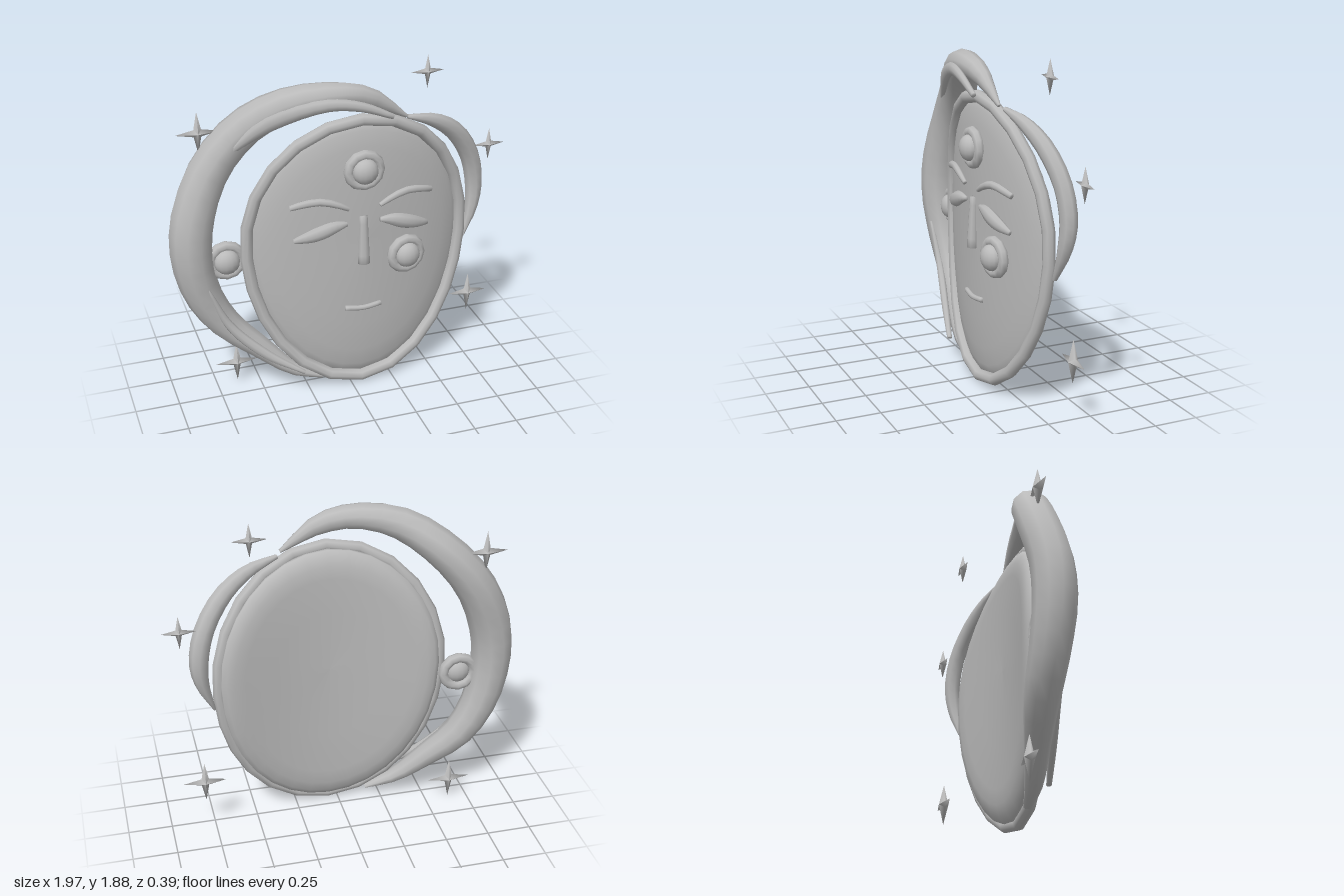
import * as THREE from 'three';

const grey = new THREE.MeshStandardMaterial({ color: 0xbababa });
grey.name = 'stone grey';
const CX = 0.06; // symmetry line of the face

// The whole face wraps backwards towards its sides
const bend = (x) => -0.28 * (x - CX) ** 2;

// Egg outline, a = angle, s = scale
function egg(a, s = 1) {
  const h = Math.sin(a) > 0 ? 0.71 : 0.875;
  return [CX + 0.625 * s * Math.cos(a), 0.92 + h * s * Math.sin(a)];
}

// Skin a list of closed rings
function skin(rings) {
  const n = rings[0].length, idx = [];
  for (let i = 0; i < rings.length - 1; i++) {
    for (let j = 0; j < n; j++) {
      const k = (j + 1) % n, a = i * n, b = a + n;
      idx.push(a + j, b + j, b + k, a + j, b + k, a + k);
    }
  }
  const g = new THREE.BufferGeometry();
  g.setAttribute('position', new THREE.Float32BufferAttribute(rings.flat(2), 3));
  g.setIndex(idx);
  g.computeVertexNormals();
  return g;
}

// Sweep an ellipse along points [x, y, z, halfWidth, halfDepth]
function sweep(pts, steps = 16, sides = 8) {
  const path = new THREE.CatmullRomCurve3(pts.map((p) => new THREE.Vector3(p[0], p[1], p[2])));
  const size = new THREE.CatmullRomCurve3(pts.map((p) => new THREE.Vector3(p[3], p[4], 0)), false, 'catmullrom', 0.5);
  const zAxis = new THREE.Vector3(0, 0, 1), rings = [];
  const ring = (u, k) => {
    const c = path.getPoint(u), t = path.getTangent(u), s = size.getPoint(u);
    const a = new THREE.Vector3().crossVectors(t, zAxis).normalize();
    const b = new THREE.Vector3().crossVectors(a, t);
    return Array.from({ length: sides }, (_, j) => {
      const w = (j / sides) * Math.PI * 2;
      return c.clone().addScaledVector(a, Math.cos(w) * s.x * k).addScaledVector(b, Math.sin(w) * s.y * k).toArray();
    });
  };
  rings.push(ring(0, 0.001));
  for (let i = 0; i <= steps; i++) rings.push(ring(i / steps, 1));
  rings.push(ring(1, 0.001));
  return skin(rings);
}

export function createModel() {
  const model = new THREE.Group();
  model.name = 'faceMask';
  const add = (name, geo, parent = model) => {
    const m = new THREE.Mesh(geo, grey);
    m.name = name;
    parent.add(m);
    return m;
  };

  // Gently domed face slab with rounded edge: [scale, z]
  const profile = [[0.001, 0.118], [0.3, 0.118], [0.6, 0.115], [0.8, 0.106], [0.92, 0.092], [1, 0.07],
    [0.99, 0.045], [0.95, 0.02], [0.88, 0.002], [0.78, -0.005], [0.5, -0.005], [0.25, -0.005], [0.001, -0.005]];
  add('face', skin(profile.map(([s, z]) => Array.from({ length: 32 }, (_, j) => {
    const [x, y] = egg((j / 32) * Math.PI * 2, s);
    return [x, y, z + bend(x)];
  }))));

  // Rim around the face, starting at the chin
  const rimPath = new THREE.CatmullRomCurve3(Array.from({ length: 24 }, (_, i) => {
    const [x, y] = egg((i / 24 - 0.25) * Math.PI * 2, 1.01);
    return new THREE.Vector3(x, y, 0.088 + bend(x));
  }), true);
  add('rim', new THREE.TubeGeometry(rimPath, 24, 0.035, 8, true));

  // Large crescent on the right side, and two strands lying on it
  add('largeCrescent', sweep([
    [0.31, 1.625, 0.085, 0.01, 0.01], [0.1, 1.755, 0.09, 0.055, 0.05], [-0.1, 1.79, 0.08, 0.068, 0.075],
    [-0.34, 1.745, 0.025, 0.09, 0.09], [-0.55, 1.61, -0.06, 0.102, 0.108], [-0.73, 1.4, -0.087, 0.112, 0.115],
    [-0.845, 1.13, -0.065, 0.121, 0.115], [-0.867, 0.9, -0.058, 0.116, 0.115], [-0.815, 0.65, -0.068, 0.104, 0.105],
    [-0.695, 0.44, -0.066, 0.088, 0.092], [-0.52, 0.28, -0.025, 0.067, 0.07], [-0.34, 0.13, 0.025, 0.042, 0.05],
    [-0.165, 0.058, 0.055, 0.014, 0.025]], 28, 10));
  add('upperStrand', sweep([
    [-0.69, 1.47, -0.005, 0.01, 0.01], [-0.44, 1.67, 0.075, 0.045, 0.025], [-0.15, 1.76, 0.15, 0.035, 0.024],
    [0.03, 1.74, 0.175, 0.027, 0.02], [0.2, 1.67, 0.18, 0.015, 0.015]]));
  add('lowerStrand', sweep([
    [-0.8, 0.72, 0.028, 0.008, 0.01], [-0.69, 0.47, 0.02, 0.025, 0.022], [-0.5, 0.275, 0.065, 0.028, 0.022],
    [-0.29, 0.145, 0.125, 0.012, 0.015]]));

  // Small crescent on the left side
  add('smallCrescent', sweep([
    [0.33, 1.61, 0.06, 0.012, 0.015], [0.5, 1.555, 0.025, 0.04, 0.035], [0.645, 1.45, -0.02, 0.053, 0.045],
    [0.755, 1.28, -0.062, 0.056, 0.048], [0.795, 1.1, -0.075, 0.053, 0.047], [0.78, 0.95, -0.063, 0.037, 0.04],
    [0.72, 0.78, -0.04, 0.008, 0.015]]));

  // Ring-and-bead ornaments: [name, x, y, z, yaw]
  const ornaments = [['browOrnament', 0.06, 1.36, 0.125, 0], ['cheekOrnament', 0.315, 0.81, 0.112, 0.14],
    ['sideOrnament', -0.675, 0.84, -0.065, 0]];
  for (const [name, x, y, z, yaw] of ornaments) {
    const o = new THREE.Group();
    o.name = name;
    o.position.set(x, y, z);
    o.rotation.y = yaw;
    add('ring', new THREE.TorusGeometry(0.089, 0.029, 8, 12), o);
    const bead = add('bead', new THREE.SphereGeometry(0.073, 14, 10), o);
    bead.scale.z = 0.75;
    bead.position.z = 0.02;
    model.add(o);
  }

  // Brows and eyes, mirrored about the face centre
  for (const s of [-1, 1]) {
    const at = (d, y, z, w, t) => [CX + s * d, y, z + bend(CX + d), w, t];
    const side = s < 0 ? 'right' : 'left';
    add(side + 'Brow', sweep([at(0.09, 1.145, 0.135, 0.013, 0.013), at(0.17, 1.185, 0.14, 0.02, 0.018),
      at(0.25, 1.205, 0.14, 0.022, 0.018), at(0.33, 1.197, 0.138, 0.022, 0.018), at(0.405, 1.175, 0.13, 0.017, 0.015)], 6, 8));
    add(side + 'Eye', sweep([at(0.095, 1.053, 0.127, 0.013, 0.012), at(0.17, 1.042, 0.132, 0.036, 0.026),
      at(0.24, 1.018, 0.135, 0.043, 0.03), at(0.31, 0.995, 0.133, 0.036, 0.026), at(0.388, 0.973, 0.127, 0.015, 0.012)], 10, 8));
  }

  // Nose and mouth
  add('nose', sweep([[CX, 1.085, 0.12, 0.023, 0.02], [CX, 0.95, 0.125, 0.029, 0.025], [CX, 0.8, 0.13, 0.036, 0.03]], 6, 8));
  add('mouth', sweep([[-0.045, 0.52, 0.117, 0.015, 0.015], [CX, 0.512, 0.127, 0.015, 0.015],
    [0.165, 0.52, 0.117, 0.015, 0.015]], 8, 8));

  // Four-pointed stars: [x, y, size]
  const stars = [[0.505, 1.79, 0.095], [-0.785, 1.59, 0.12], [0.893, 1.31, 0.095], [0.805, 0.355, 0.122], [-0.632, 0.145, 0.124]];
  for (const [x, y, r] of stars) {
    const outline = (k, z) => Array.from({ length: 8 }, (_, j) => {
      const a = (j * Math.PI) / 4, q = r * k * (j % 2 ? 0.24 : 1);
      return [q * Math.cos(a), q * Math.sin(a), z];
    });
    const star = skin([outline(0.001, r * 0.24), outline(1, 0), outline(0.001, -r * 0.24)]);
    add('star', star).position.set(x, y, -0.11);
  }
  return model;
}
